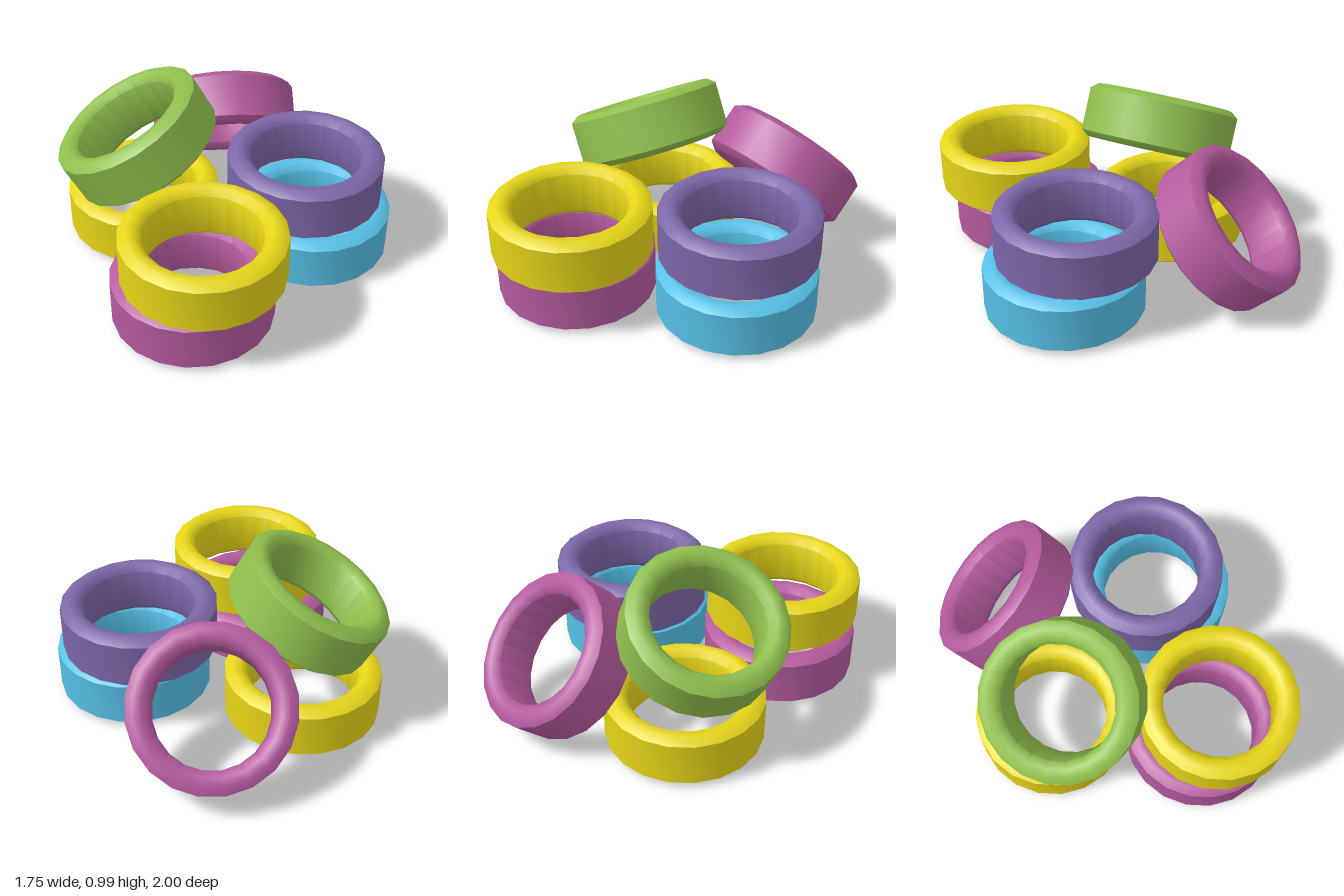
import * as THREE from 'three';
import { toCreasedNormals } from 'three/addons/utils/BufferGeometryUtils.js';

// Closed ring section: outer wall, bevelled rims, straight bore
function ringGeometry() {
  const section = [
    [0.312, -0.118], [0.35, -0.155], [0.395, -0.155], [0.438, -0.122],
    [0.438, 0.122], [0.395, 0.155], [0.35, 0.155], [0.312, 0.118], [0.312, -0.118],
  ].map(([r, y]) => new THREE.Vector2(r, y));
  return toCreasedNormals(new THREE.LatheGeometry(section, 20), 0.8);
}

export function createModel() {
  const group = new THREE.Group();
  const geometry = ringGeometry();
  const yellow = 0xe6d517, magenta = 0xb45a9e, blue = 0x55c0e6, purple = 0x7d66a8, green = 0x8fbf4d;

  // name, colour, centre, axis
  const rings = [
    ['lowerBackRing', blue, [0.435, 0.157, -0.33], [0, 1, 0]],
    ['upperBackRing', purple, [0.367, 0.46, -0.335], [0, 1, 0]],
    ['lowerFrontRing', magenta, [0.312, 0.157, 0.56], [0, 1, 0]],
    ['upperFrontRing', yellow, [0.387, 0.46, 0.56], [0, 1, 0]],
    ['lowerSideRing', yellow, [-0.438, 0.157, 0.145], [0, 1, 0]],
    ['tiltedTopRing', green, [-0.39, 0.67, 0.23], [-0.37, 0.87, 0.31]],
    ['leaningRing', magenta, [-0.428, 0.41, -0.565], [-0.52, 0.69, -0.51]],
  ];
  const up = new THREE.Vector3(0, 1, 0);
  for (const [name, color, centre, axis] of rings) {
    const ring = new THREE.Mesh(geometry, new THREE.MeshStandardMaterial({ color }));
    ring.name = name;
    ring.position.set(...centre);
    ring.quaternion.setFromUnitVectors(up, new THREE.Vector3(...axis).normalize());
    group.add(ring);
  }
  return group;
}
